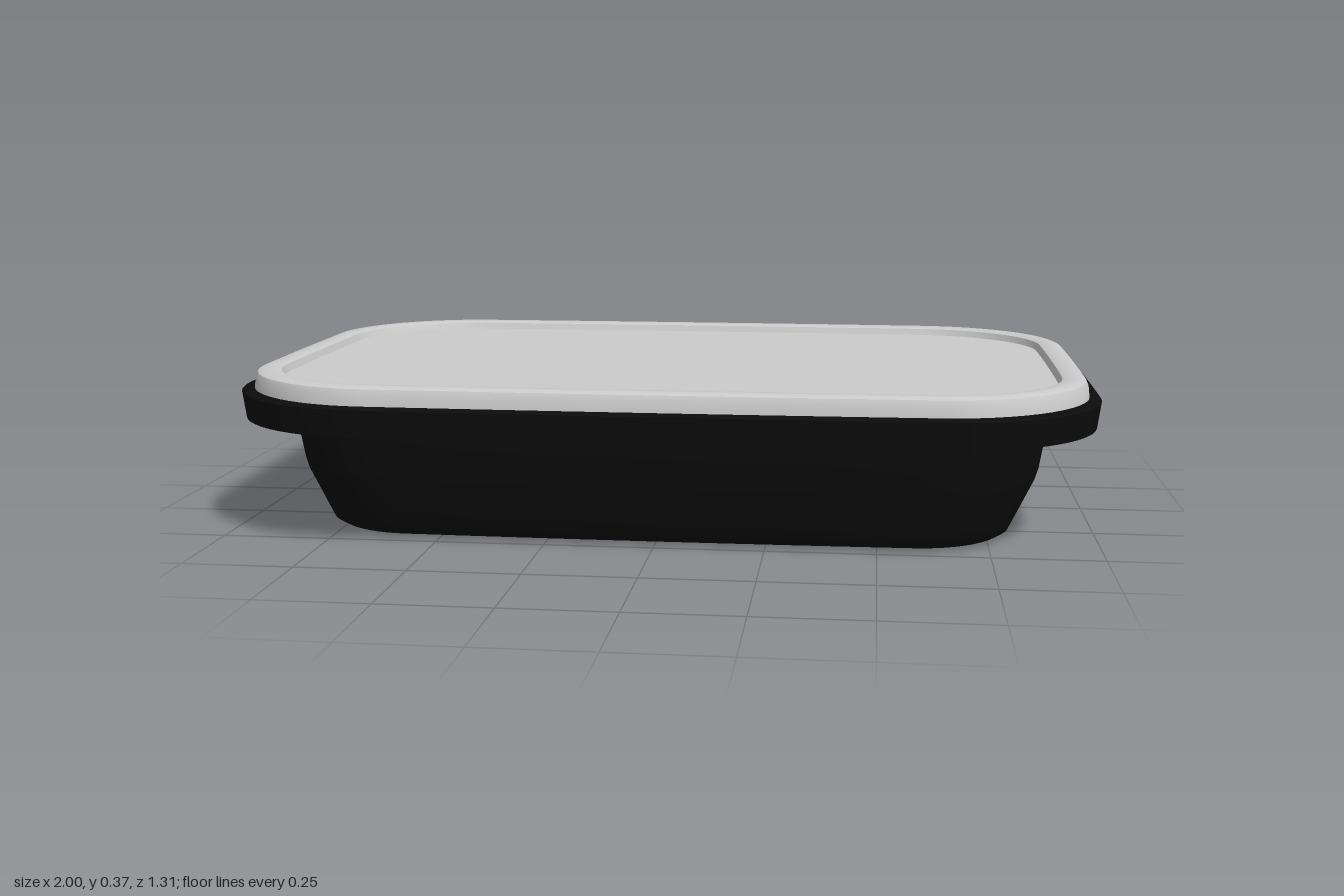
import * as THREE from 'three';
import { toCreasedNormals } from 'three/addons/utils/BufferGeometryUtils.js';

const CORNER = 14, SIDE = 8;

// Rounded rectangle with slightly bowed sides, as [x, z] pairs
function outline(hx, hz, r) {
  const pts = [];
  const centres = [[1, 1], [-1, 1], [-1, -1], [1, -1]];
  centres.forEach(([sx, sz], q) => {
    for (let i = 0; i <= CORNER; i++) {
      const a = (q + i / CORNER) * Math.PI / 2;
      pts.push([sx * (hx - r) + r * Math.cos(a), sz * (hz - r) + r * Math.sin(a)]);
    }
    // points along the straight side up to the next corner
    const [nx, nz] = centres[(q + 1) % 4];
    const a = (q + 1) * Math.PI / 2;
    const end = [nx * (hx - r) + r * Math.cos(a), nz * (hz - r) + r * Math.sin(a)];
    const start = pts[pts.length - 1];
    for (let i = 1; i < SIDE; i++) {
      const t = i / SIDE;
      pts.push([start[0] + (end[0] - start[0]) * t, start[1] + (end[1] - start[1]) * t]);
    }
  });
  if (hx === 0) return pts;
  return pts.map(([x, z]) => [
    x * (1 - 0.01 * (z / hz) ** 2),
    z * (1 - 0.025 * (x / hx) ** 2),
  ]);
}

// Skin a list of rings [halfX, halfZ, cornerRadius, y]
function loft(rings) {
  const pos = [], index = [];
  let n = 0;
  for (const [hx, hz, r, y] of rings) {
    const pts = outline(hx, hz, r);
    n = pts.length;
    for (const [x, z] of pts) pos.push(x, y, z);
  }
  for (let i = 0; i < rings.length - 1; i++) {
    for (let j = 0; j < n; j++) {
      const a = i * n + j, b = i * n + (j + 1) % n;
      if (rings[i + 1][0] > 0) index.push(a, a + n, b + n);
      if (rings[i][0] > 0) index.push(a, b + n, b);
      else if (rings[i + 1][0] === 0) index.push(a, b + n, b);
    }
  }
  const g = new THREE.BufferGeometry();
  g.setAttribute('position', new THREE.Float32BufferAttribute(pos, 3));
  g.setIndex(index);
  return toCreasedNormals(g, 0.6);
}

export function createModel() {
  const group = new THREE.Group();
  const black = new THREE.MeshStandardMaterial({ color: 0x0c0c0c });
  const grey = new THREE.MeshStandardMaterial({ color: 0xcccccc });
  const add = (name, geometry, material) => {
    const mesh = new THREE.Mesh(geometry, material);
    mesh.name = name;
    group.add(mesh);
    return mesh;
  };

  // Tray: base, sloped wall, hollow skirted flange, then the inside
  add('tray', loft([
    [0, 0, 0, 0.003],
    [0.77, 0.445, 0.18, 0.003],
    [0.79, 0.465, 0.2, 0.006],
    [0.806, 0.48, 0.21, 0.017],
    [0.815, 0.489, 0.22, 0.035],
    [0.862, 0.53, 0.26, 0.135],
    [0.87, 0.537, 0.27, 0.16],
    [0.887, 0.555, 0.28, 0.27],
    [0.892, 0.56, 0.28, 0.315],
    [0.975, 0.633, 0.335, 0.315],
    [0.978, 0.637, 0.337, 0.265],
    [0.992, 0.65, 0.345, 0.265],
    [1.0, 0.657, 0.35, 0.327],
    [0.997, 0.654, 0.35, 0.33],
    [0.87, 0.54, 0.27, 0.33],
    [0.85, 0.52, 0.25, 0.15],
    [0.79, 0.465, 0.2, 0.02],
    [0, 0, 0, 0.02],
  ]), black);

  // Lid: raised rounded rim around a sunken panel
  add('lid', loft([
    [0, 0, 0, 0.332],
    [0.974, 0.634, 0.34, 0.332],
    [0.971, 0.631, 0.34, 0.358],
    [0.966, 0.626, 0.335, 0.369],
    [0.955, 0.616, 0.33, 0.374],
    [0.925, 0.586, 0.3, 0.374],
    [0.914, 0.576, 0.295, 0.37],
    [0.907, 0.57, 0.29, 0.354],
    [0, 0, 0, 0.354],
  ]), grey);

  // Flat plate under the base
  add('basePlate', new THREE.BoxGeometry(1.24, 0.004, 0.62), grey).position.y = 0.002;

  // Two thin slits marking the tear tab on the back of the flange
  for (const x of [0.33, 0.58]) {
    const z = -0.656 * (1 - 0.025 * x * x);
    add('tearTabSlit', new THREE.BoxGeometry(0.006, 0.03, 0.008), grey).position.set(x, 0.316, z + 0.002);
  }
  return group;
}
